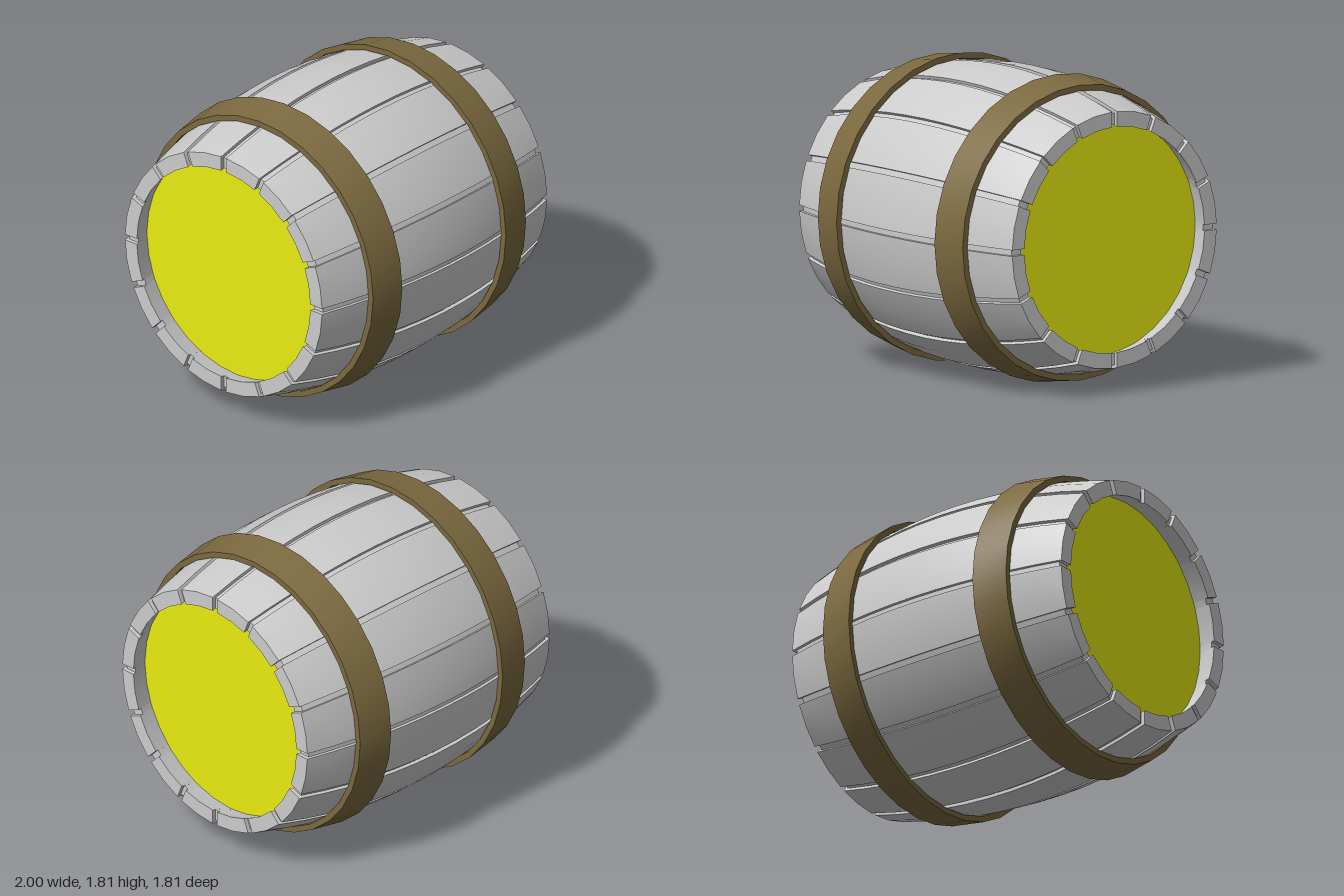
import * as THREE from 'three';
import { toCreasedNormals } from 'three/addons/utils/BufferGeometryUtils.js';

const STAVES = 16;
const STEP = (Math.PI * 2) / STAVES;
const HALF_GAP = 0.018;
const WALL = 0.09;
const CREASE = 0.5;

// Outer radius of the barrel at a position along its axis
const bulge = (x) => 0.895 - 0.14 * x * x;

// Curved slat along x, centred on angle 0; halfAngle(r) gives its half width at radius r
function slatGeometry(halfLength, inset, arcSegs, halfAngle) {
  const rings = 12, m = 2 * (arcSegs + 1);
  const pos = [], index = [];
  for (let i = 0; i <= rings; i++) {
    const x = -halfLength + (2 * halfLength * i) / rings;
    const outer = bulge(x) - inset, inner = bulge(x) - WALL;
    for (let j = 0; j < m; j++) {
      const onOuter = j <= arcSegs;
      const r = onOuter ? outer : inner;
      const t = (onOuter ? j : m - 1 - j) / arcSegs;
      const a = halfAngle(r) * (2 * t - 1);
      pos.push(x, r * Math.cos(a), r * Math.sin(a));
    }
  }
  for (let i = 0; i < rings; i++) {
    for (let j = 0; j < m; j++) {
      const a = i * m + j, b = i * m + ((j + 1) % m);
      index.push(a, b, b + m, a, b + m, a + m);
    }
  }
  // End caps
  const last = rings * m;
  for (let k = 0; k < arcSegs; k++) {
    const a = k, b = k + 1, c = m - 2 - k, d = m - 1 - k;
    index.push(last + a, last + b, last + c, last + a, last + c, last + d);
    index.push(a, c, b, a, d, c);
  }
  const g = new THREE.BufferGeometry();
  g.setAttribute('position', new THREE.Float32BufferAttribute(pos, 3));
  g.setIndex(index);
  return toCreasedNormals(g, CREASE);
}

// Tapered band around the x axis, wide edge towards the middle
function hoopGeometry() {
  const profile = [[0.905, 0.46], [0.87, 0.68], [0.835, 0.68], [0.87, 0.46], [0.905, 0.46]]
    .map(([r, y]) => new THREE.Vector2(r, y));
  const g = new THREE.LatheGeometry(profile, 32);
  g.rotateZ(-Math.PI / 2);
  return toCreasedNormals(g, CREASE);
}

export function createModel() {
  const wood = new THREE.MeshStandardMaterial({ color: 0xcccccc });
  const hoopMat = new THREE.MeshStandardMaterial({ color: 0x7b693f });
  const headMat = new THREE.MeshStandardMaterial({ color: 0xe8ec10 });

  const model = new THREE.Group();
  model.name = 'barrel';
  const add = (name, geometry, material) => {
    const mesh = new THREE.Mesh(geometry, material);
    mesh.name = name;
    model.add(mesh);
    return mesh;
  };

  // Staves and the recessed strips that close the gaps between them
  const stave = slatGeometry(1, 0, 2, (r) => STEP / 2 - Math.asin(HALF_GAP / r));
  const strip = slatGeometry(0.975, 0.02, 1, (r) => Math.asin(HALF_GAP / r));
  for (let i = 0; i < STAVES; i++) {
    add('stave', stave, wood).rotation.x = (i + 0.5) * STEP;
    add('jointStrip', strip, wood).rotation.x = i * STEP;
  }

  // Hoops and recessed round heads, one at each end
  const hoop = hoopGeometry();
  const head = new THREE.CylinderGeometry(0.71, 0.71, 0.03, 32).rotateZ(-Math.PI / 2);
  for (const side of [-1, 1]) {
    add('hoop', hoop, hoopMat).rotation.y = side > 0 ? 0 : Math.PI;
    add('head', head, headMat).position.x = side * 0.855;
  }

  // Lying on its side, resting on the hoops
  model.children.forEach((part) => { part.position.y = 0.905; });
  return model;
}
